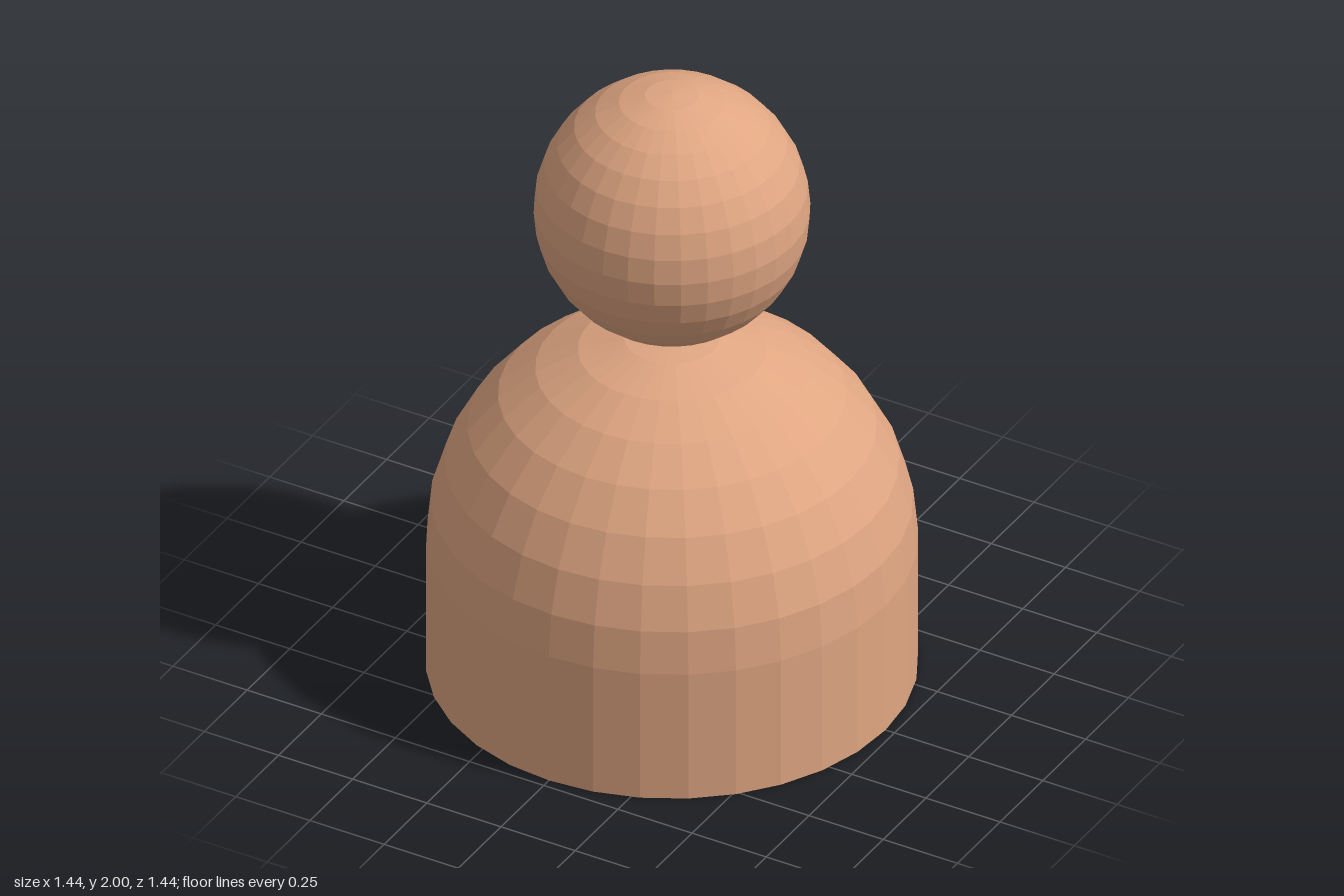
import * as THREE from 'three';

const SIDES = 32;
const BODY_RADIUS = 0.72;
const SHOULDER_Y = 0.435;
const HEAD_RADIUS = 0.405;

export function createModel() {
  const model = new THREE.Group();
  model.name = 'figure';
  const skin = new THREE.MeshStandardMaterial({ color: 0xe0a682, flatShading: true });

  // Body: flat base, straight wall and a quarter-circle dome
  const profile = [new THREE.Vector2(0, 0), new THREE.Vector2(BODY_RADIUS, 0)];
  const steps = 8;
  for (let i = 0; i <= steps; i++) {
    const a = (i / steps) * Math.PI / 2;
    const r = i === steps ? 0 : BODY_RADIUS * Math.cos(a);
    profile.push(new THREE.Vector2(r, SHOULDER_Y + BODY_RADIUS * Math.sin(a)));
  }
  const body = new THREE.Mesh(new THREE.LatheGeometry(profile, SIDES), skin);
  body.name = 'body';
  model.add(body);

  // Head: faceted ball floating just above the body
  const head = new THREE.Mesh(new THREE.SphereGeometry(HEAD_RADIUS, SIDES, 16), skin);
  head.name = 'head';
  head.position.y = 2 - HEAD_RADIUS;
  model.add(head);

  return model;
}
